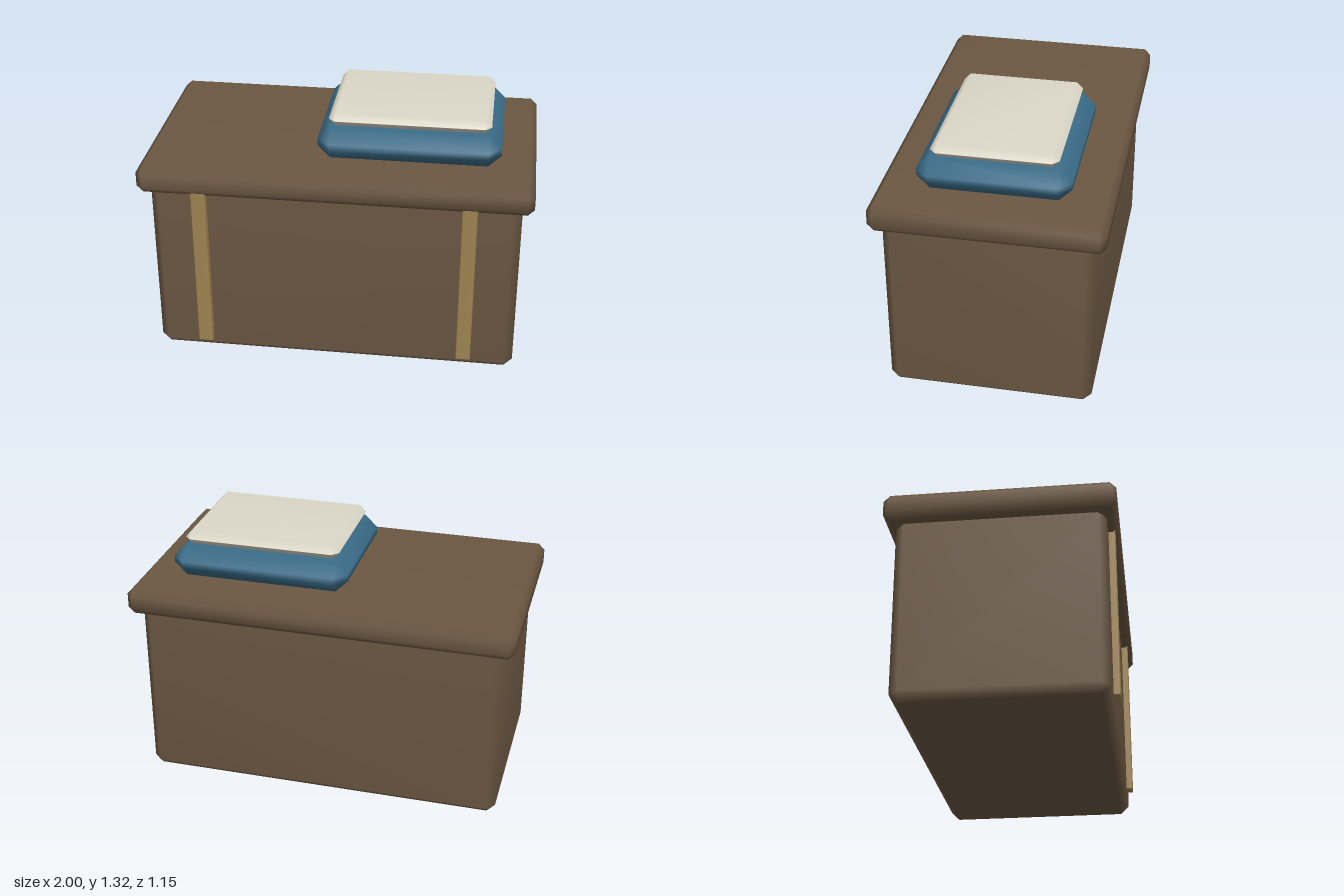
import * as THREE from 'three';

// Box with one chamfer all round and smooth-blended normals
function chamferBox(w, h, d, bevel) {
  const half = [w / 2, h / 2, d / 2];
  const pos = [], index = [];
  // Each corner (bits = signs) gets one point per face axis it touches
  for (let axis = 0; axis < 3; axis++) {
    for (let bits = 0; bits < 8; bits++) {
      for (let k = 0; k < 3; k++) {
        const sign = (bits >> k) & 1 ? 1 : -1;
        pos.push(sign * (k === axis ? half[k] : half[k] - bevel));
      }
    }
  }
  const id = (axis, bits) => axis * 8 + bits;
  const quad = (p, q, r, s, flip) =>
    flip ? index.push(p, r, q, p, s, r) : index.push(p, q, r, p, r, s);

  for (let a = 0; a < 3; a++) {
    const b = (a + 1) % 3, c = (a + 2) % 3;
    const A = 1 << a, B = 1 << b, C = 1 << c;
    // Flat faces
    for (const s of [0, A]) {
      quad(id(a, s), id(a, s | B), id(a, s | B | C), id(a, s | C), s === 0);
    }
    // Edge chamfers between axes a and b
    for (const sa of [0, A]) {
      for (const sb of [0, B]) {
        const e = sa | sb;
        quad(id(a, e), id(b, e), id(b, e | C), id(a, e | C), (sa > 0) !== (sb > 0));
      }
    }
  }
  // Corner triangles
  for (let bits = 0; bits < 8; bits++) {
    const positives = (bits & 1) + ((bits >> 1) & 1) + ((bits >> 2) & 1);
    if (positives % 2) index.push(id(0, bits), id(1, bits), id(2, bits));
    else index.push(id(0, bits), id(2, bits), id(1, bits));
  }

  const geo = new THREE.BufferGeometry();
  geo.setAttribute('position', new THREE.Float32BufferAttribute(pos, 3));
  geo.setIndex(index);
  geo.computeVertexNormals();
  return geo;
}

export function createModel() {
  const model = new THREE.Group();
  model.name = 'storageChest';

  const wood = new THREE.MeshStandardMaterial({ color: 0x6b5742 });
  const brass = new THREE.MeshStandardMaterial({ color: 0xa08552 });
  const blue = new THREE.MeshStandardMaterial({ color: 0x3a6c88 });
  const cream = new THREE.MeshStandardMaterial({ color: 0xdcd8c8 });

  // Adds a chamfered box resting at height y0
  const add = (name, material, [w, h, d], bevel, x, y0, z) => {
    const mesh = new THREE.Mesh(chamferBox(w, h, d, bevel), material);
    mesh.name = name;
    mesh.position.set(x, y0 + h / 2, z);
    model.add(mesh);
  };

  // Chest
  add('chestBody', wood, [1.888, 0.975, 1.044], 0.044, 0, 0, 0);
  add('chestLid', wood, [2, 0.14, 1.154], 0.033, 0, 0.95, 0);

  // Upright straps on the front
  for (const side of [-1, 1]) {
    add(side > 0 ? 'leftStrap' : 'rightStrap', brass, [0.077, 0.9, 0.07], 0.005, side * 0.686, 0.068, 0.521);
  }

  // Folded cushion and pad on the lid
  add('cushion', blue, [0.93, 0.166, 0.76], 0.065, 0.358, 1.09, 0);
  add('topPad', cream, [0.82, 0.068, 0.627], 0.033, 0.357, 1.256, 0);

  return model;
}
